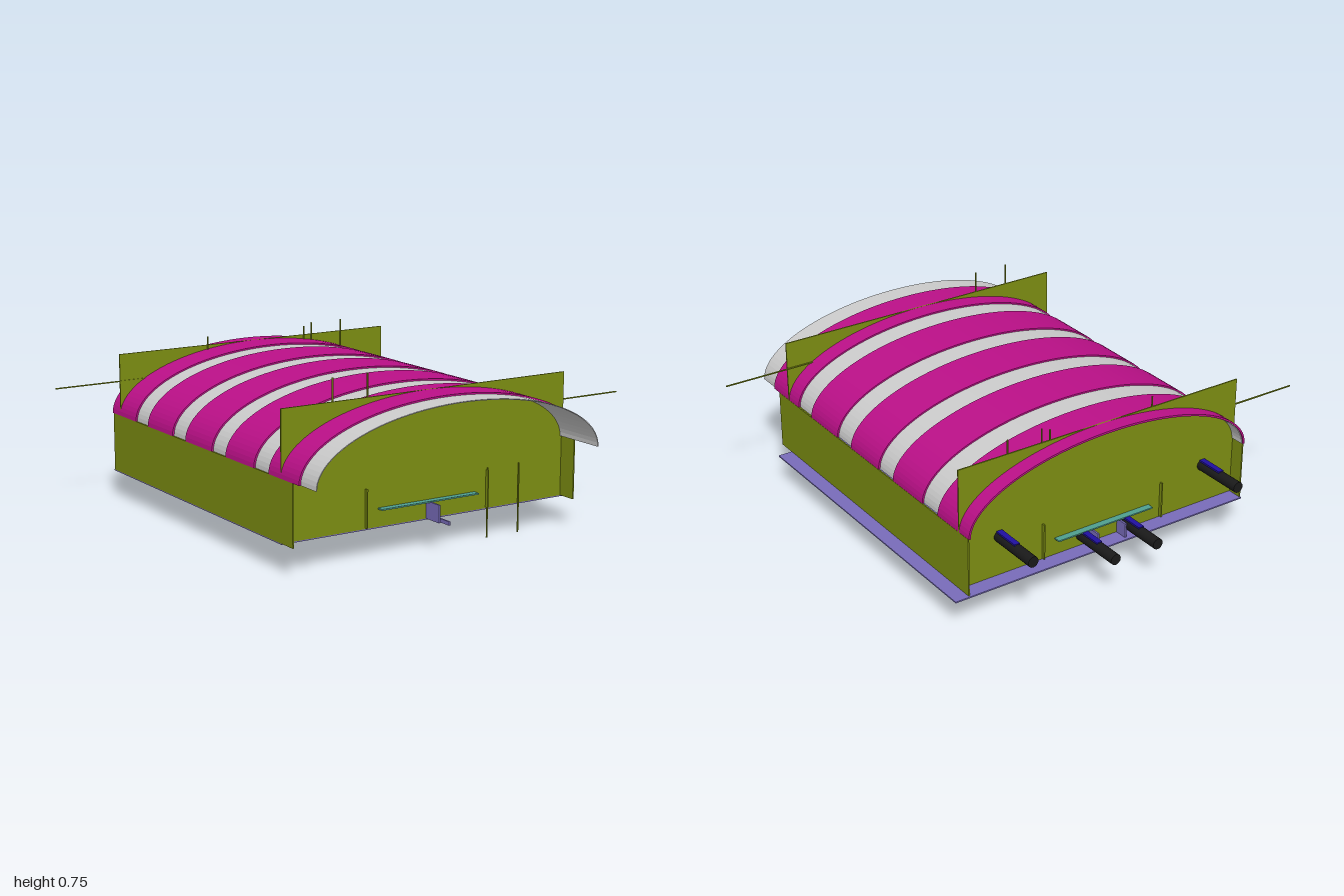
import * as THREE from 'three';

const mat = (color) => new THREE.MeshStandardMaterial({ color, side: THREE.DoubleSide });

export function createModel() {
  const model = new THREE.Group();
  const olive = mat(0x7c8d12), magenta = mat(0xbb1088), grey = mat(0xcccccc);
  const violet = mat(0x786cba), black = mat(0x1a1a1a), navy = mat(0x2010a0), teal = mat(0x4f9f8f);

  const add = (name, geometry, material, x = 0, y = 0, z = 0) => {
    const mesh = new THREE.Mesh(geometry, material);
    mesh.name = name;
    mesh.position.set(x, y, z);
    model.add(mesh);
    return mesh;
  };
  // Box given by its limits on each axis
  const box = (name, material, [x0, x1], [y0, y1], [z0, z1]) =>
    add(name, new THREE.BoxGeometry(x1 - x0, y1 - y0, z1 - z0), material,
      (x0 + x1) / 2, (y0 + y1) / 2, (z0 + z1) / 2);

  // Floor, side walls and the two upright end panels
  box('floor', violet, [-0.69, 0.765], [0.12, 0.126], [-0.765, 0.68]);
  for (const x of [-0.688, 0.697]) {
    box('sideWall', olive, [x - 0.003, x + 0.003], [0.125, 0.385], [-0.757, 0.765]);
  }
  for (const z of [0.678, -0.69]) {
    box('endPanel', olive, [-0.69, 0.7], [0.125, 0.66], [z - 0.003, z + 0.003]);
  }

  // Half-elliptical cover strip from z0 to z1
  const arch = (name, material, rx, ry, thickness, z0, z1) => {
    const shape = new THREE.Shape();
    shape.absellipse(0, 0, rx, ry, 0, Math.PI, false);
    shape.lineTo(-rx + thickness, 0);
    shape.absellipse(0, 0, rx - thickness, ry - thickness, Math.PI, 0, true);
    shape.closePath();
    const geometry = new THREE.ExtrudeGeometry(shape, {
      depth: z1 - z0, bevelEnabled: false, curveSegments: 24,
    });
    add(name, geometry, material, 0.003, 0.385, z0);
  };
  // Grey under-cover, with five raised bands over it
  arch('cover', grey, 0.688, 0.268, 0.004, -0.755, 0.925);
  for (let i = 0; i < 5; i++) {
    const z0 = 0.59 - i * 0.338;
    arch('coverBand', magenta, 0.696, 0.275, 0.009, z0, z0 + 0.225);
  }

  // Rear pipes, the outer pair higher than the inner pair
  for (const [x, y] of [[-0.52, 0.305], [-0.105, 0.175], [0.108, 0.175], [0.512, 0.305]]) {
    const pipe = new THREE.CylinderGeometry(0.024, 0.024, 0.24, 16);
    pipe.rotateX(Math.PI / 2);
    add('pipe', pipe, black, x, y, -0.81);
    box('pipeClip', navy, [x - 0.013, x + 0.013], [y, y + 0.027], [-0.82, -0.695]);
  }

  // Slim ledges and upright fins on both end panels
  for (const [zIn, out] of [[0.681, 1], [-0.693, -1]]) {
    const zs = (d) => [Math.min(zIn, zIn + out * d), Math.max(zIn, zIn + out * d)];
    box('endLedge', teal, [-0.24, 0.24], [0.198, 0.204], zs(0.03));
    for (const x of [-0.3, 0.3]) {
      box('endFin', olive, [x - 0.003, x + 0.003], [0.13, 0.29], zs(0.015));
    }
  }
  box('frontBracket', violet, [-0.004, 0.004], [0.125, 0.2], [0.68, 0.77]);
  for (const x of [-0.08, 0.06]) {
    box('rearBracket', violet, [x - 0.004, x + 0.004], [0.126, 0.19], [-0.75, -0.69]);
  }

  // Rails below the floor
  const rails = [
    [-0.035, 0.31, -0.385, 0.085], [-0.45, -0.11, -0.385, 0.085],
    [0.06, 0.4, 0.43, 0.1], [-0.3, 0.03, 0.43, 0.1],
    [-0.23, -0.09, -0.08, 0.108], [-0.25, -0.1, 0.16, 0.108], [0.16, 0.33, 0.18, 0.108],
  ];
  for (const [x0, x1, z, bottom] of rails) {
    box('floorRail', violet, [x0, x1], [bottom, 0.12], [z - 0.006, z + 0.006]);
  }
  for (const [x, z0, z1] of [[0.05, -0.725, -0.385], [-0.06, -0.725, -0.385], [0.05, 0.43, 0.77]]) {
    box('floorRunner', violet, [x - 0.004, x + 0.004], [0.108, 0.124], [z0, z1]);
  }

  // Thin rods: uprights, drops and one outrigger on each side
  const r = 0.0025;
  const uprights = [
    [-0.452, 0.58, 0.755, 0.675], [-0.288, 0.58, 0.755, 0.675],
    [0.3, 0, 0.3, 0.69], [0.462, 0, 0.3, 0.69],
    [-0.25, 0.58, 0.7, -0.68], [0.26, 0.58, 0.7, -0.68],
    [0.3, 0.58, 0.715, -0.68], [0.462, 0.58, 0.715, -0.68],
  ];
  for (const [x, y0, y1, z] of uprights) {
    box('rod', olive, [x - r, x + r], [y0, y1], [z - r, z + r]);
  }
  box('leftOutrigger', olive, [0.57, 1], [0.537, 0.542], [0.668, 0.673]);
  box('rightOutrigger', olive, [-1, -0.57], [0.537, 0.542], [-0.689, -0.684]);

  return model;
}
